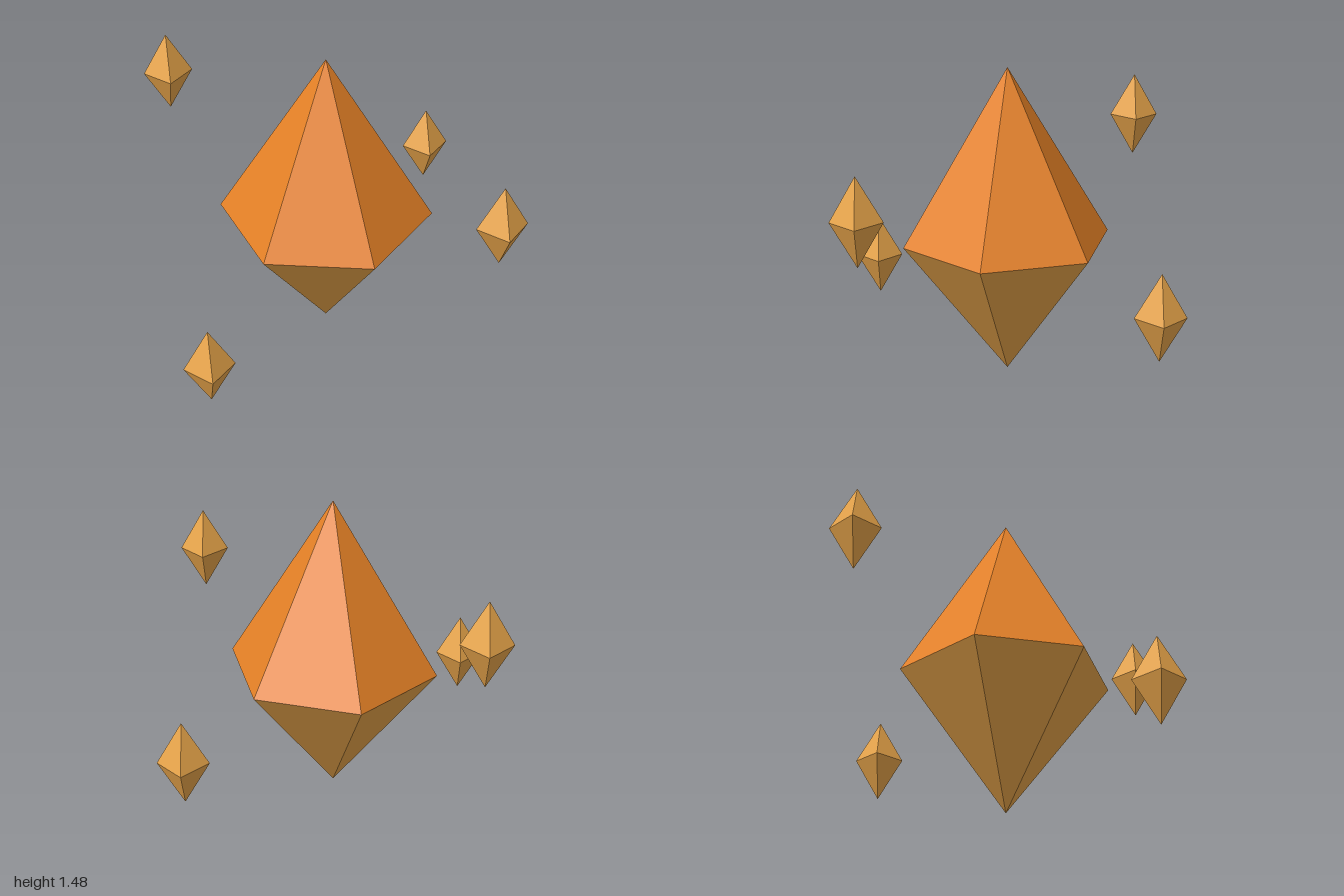
import * as THREE from 'three';

const orange = new THREE.MeshStandardMaterial({ name: 'orange', color: 0xe68226, flatShading: true });
const gold = new THREE.MeshStandardMaterial({ name: 'gold', color: 0xe8a54a, flatShading: true });

// Two open pyramids meeting at a shared girdle (the group's origin)
function makeCrystal(name, sides, radius, up, down, topMaterial, bottomMaterial, turn = 0) {
  const crystal = new THREE.Group();
  crystal.name = name;
  const topGeometry = new THREE.ConeGeometry(radius, up, sides, 1, true);
  topGeometry.rotateY(turn).translate(0, up / 2, 0);
  const bottomGeometry = new THREE.CylinderGeometry(radius, 0, down, sides, 1, true);
  bottomGeometry.rotateY(turn).translate(0, -down / 2, 0);
  const top = new THREE.Mesh(topGeometry, topMaterial);
  top.name = 'upperFacets';
  const bottom = new THREE.Mesh(bottomGeometry, bottomMaterial);
  bottom.name = 'lowerFacets';
  crystal.add(top, bottom);
  return crystal;
}

export function createModel() {
  const model = new THREE.Group();
  model.name = 'floatingCrystal';

  // Large six-sided crystal
  const main = makeCrystal('mainCrystal', 6, 0.5, 0.82, 0.655, orange, gold);
  main.position.y = 0.655;
  model.add(main);

  // Four small square shards floating around it at different heights
  const orbit = 0.918;
  const shards = [
    ['leftShard', orbit, 0.948, 0],
    ['rightShard', -orbit, 1.097, 0],
    ['frontShard', 0, 0.357, orbit],
    ['backShard', 0, 0.506, -orbit],
  ];
  for (const [name, x, y, z] of shards) {
    const shard = makeCrystal(name, 4, 0.116, 0.203, 0.203, gold, gold, Math.PI / 4);
    shard.position.set(x, y, z);
    model.add(shard);
  }
  return model;
}
